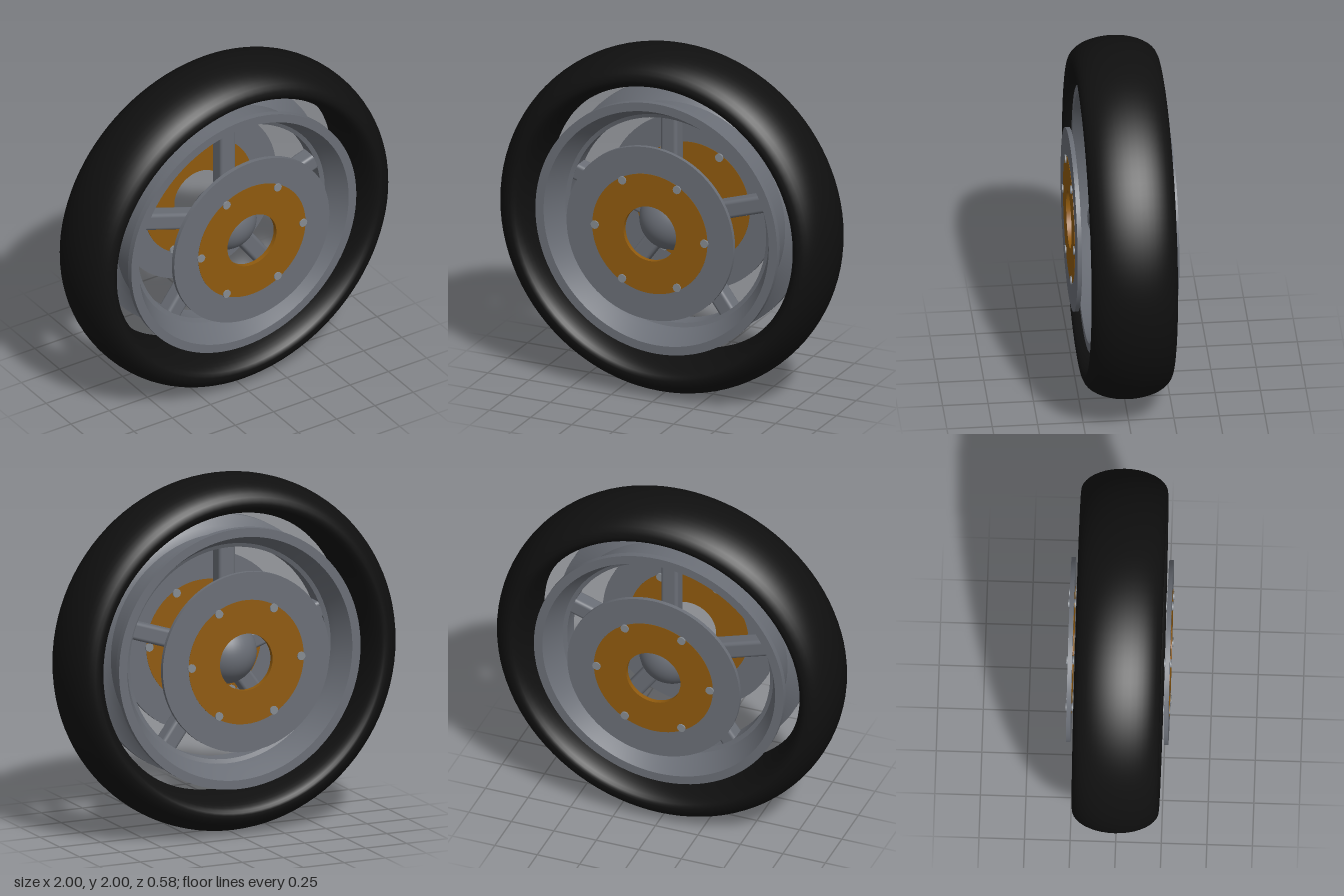
import * as THREE from 'three';
import { toCreasedNormals } from 'three/addons/utils/BufferGeometryUtils.js';
import { RoundedBoxGeometry } from 'three/addons/geometries/RoundedBoxGeometry.js';

const mat = (name, color) => {
  const m = new THREE.MeshStandardMaterial({ color });
  m.name = name;
  return m;
};

// Solid of revolution about z from a closed [radius, z] profile, counterclockwise
function revolve(points, segments, crease = 0.5) {
  const closed = [...points, points[0]].map(([r, z]) => new THREE.Vector2(r, z));
  const g = new THREE.LatheGeometry(closed, segments).rotateX(Math.PI / 2);
  return toCreasedNormals(g, crease);
}

const ring = (inner, outer, half) =>
  revolve([[inner, -half], [outer, -half], [outer, half], [inner, half]], 72);

export function createModel() {
  const rubber = mat('black rubber', 0x101010);
  const steel = mat('grey steel', 0x6a6e76);
  const copper = mat('copper', 0x8f5a0e);
  const boltSteel = mat('bolt steel', 0x858a90);

  const wheel = new THREE.Group();
  wheel.name = 'wheel';
  wheel.position.y = 1;
  const add = (name, geometry, material, parent = wheel) => {
    const m = new THREE.Mesh(geometry, material);
    m.name = name;
    parent.add(m);
    return m;
  };

  // Tire: oval section, fuller towards the tread
  const section = [];
  for (let i = 0; i < 40; i++) {
    const a = (i / 40) * Math.PI * 2;
    const c = Math.cos(a);
    section.push([0.875 + c * (c > 0 ? 0.125 : 0.082), Math.sin(a) * 0.238]);
  }
  add('tire', revolve(section, 96, 1), rubber);

  // Rim: flared lips either side of a narrower barrel
  const outside = [[0.645, 0.09], [0.675, 0.13], [0.735, 0.165], [0.735, 0.2]];
  const inside = [[0.685, 0.2], [0.635, 0.1], [0.62, 0.06], [0.597, 0.05]];
  const flip = (list) => list.map(([r, z]) => [r, -z]).reverse();
  add('rim', revolve([...flip(outside), ...outside, ...inside, ...flip(inside)], 96), steel);

  // Hub and five spokes
  add('hub', new THREE.SphereGeometry(0.18, 40, 28), steel);
  for (let i = 0; i < 5; i++) {
    const a = Math.PI / 2 + (i / 5) * Math.PI * 2;
    const spoke = add('spoke', new RoundedBoxGeometry(0.5, 0.1, 0.1, 3, 0.02), steel);
    spoke.position.set(Math.cos(a) * 0.365, Math.sin(a) * 0.365, 0);
    spoke.rotation.z = a;
  }

  // Brake disc with copper centre and six bolts on each side
  for (const side of [1, -1]) {
    const brake = new THREE.Group();
    brake.name = side > 0 ? 'frontBrake' : 'backBrake';
    brake.position.z = side * 0.268;
    wheel.add(brake);
    add('brakeDisc', ring(0.34, 0.507, 0.012), steel, brake);
    add('discCentre', ring(0.16, 0.35, 0.0135), copper, brake);
    for (let i = 0; i < 6; i++) {
      const a = (i / 6) * Math.PI * 2;
      const bolt = add('bolt', new THREE.CylinderGeometry(0.024, 0.024, 0.042, 12).rotateX(Math.PI / 2), boltSteel, brake);
      bolt.position.set(Math.cos(a) * 0.333, Math.sin(a) * 0.333, 0);
    }
  }

  const model = new THREE.Group();
  model.name = 'model';
  model.add(wheel);
  return model;
}
